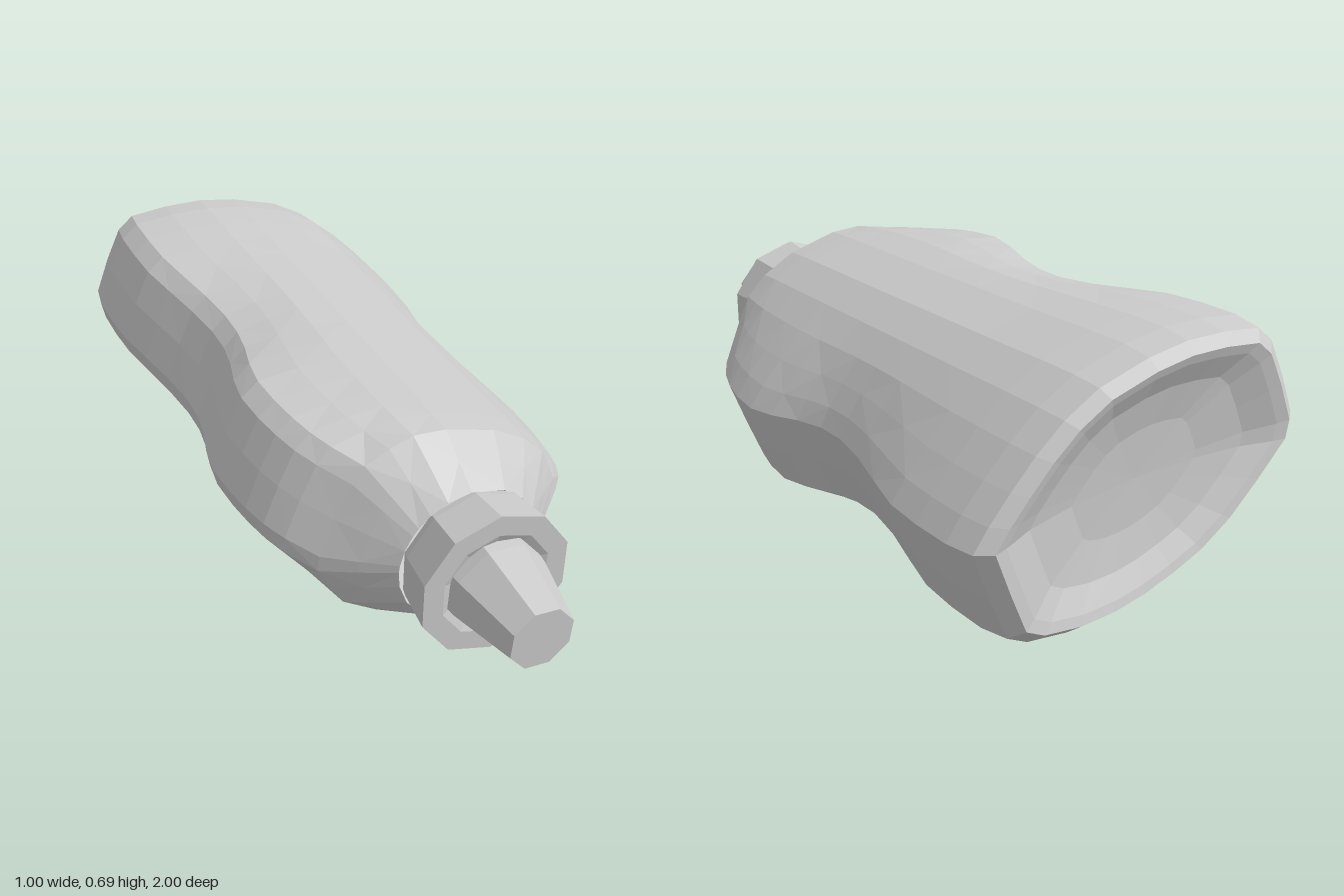
import * as THREE from 'three';

const material = new THREE.MeshStandardMaterial({
  color: 0xcccccc, flatShading: true, side: THREE.DoubleSide,
});
const TILT = THREE.MathUtils.degToRad(25);
const CENTER_Y = 0.345;
const KEEP = 0.2; // half-length of the section that the side dents leave alone

// Skin rings of points (counter-clockwise seen from +z) into one surface
function loft(name, rings) {
  const n = rings[0].length;
  const index = [];
  for (let i = 0; i < rings.length - 1; i++) {
    for (let j = 0; j < n; j++) {
      const a = i * n + j, b = i * n + (j + 1) % n, c = a + n, d = b + n;
      if ((i + j) % 2) index.push(a, b, d, a, d, c);
      else index.push(a, b, c, b, d, c);
    }
  }
  const geometry = new THREE.BufferGeometry().setFromPoints(rings.flat());
  geometry.setIndex(index);
  geometry.computeVertexNormals();
  const mesh = new THREE.Mesh(geometry, material);
  mesh.name = name;
  return mesh;
}

// Regular polygon ring around the bottle's axis
function circle(sides, r, z, x, y, turn) {
  return Array.from({ length: sides }, (_, i) => {
    const t = turn + i / sides * Math.PI * 2;
    return new THREE.Vector3(x + r * Math.cos(t), y + r * Math.sin(t), z);
  });
}

// Tilted oval cross-section of the body
const outline = [
  [0.502, 0.285], [0.46, 0.345], [0.4, 0.415], [0.33, 0.49], [0.25, 0.56], [0.15, 0.62],
  [0, 0.667], [-0.12, 0.688], [-0.24, 0.69], [-0.36, 0.68], [-0.41, 0.64],
  [-0.46, 0.54], [-0.505, 0.43], [-0.495, 0.375], [-0.4, 0.275], [-0.3, 0.18],
  [-0.2, 0.112], [-0.1, 0.068], [0, 0.033], [0.1, 0.01], [0.22, 0], [0.34, 0.012],
  [0.4, 0.04], [0.45, 0.155],
];

// Press the two ends of the section in to half-length `reach`, leaving the broad
// faces in place; then scale it and blend it towards the round neck
function section([z, reach, scale, round = 0]) {
  const c = Math.cos(TILT), s = Math.sin(TILT);
  return outline.map(([x, py]) => {
    const y = py - CENTER_Y;
    const along = x * c - y * s, v = (x * s + y * c) * scale;
    const over = Math.max(0, Math.abs(along) - KEEP);
    const u = (along - Math.sign(along) * over * (0.5 - reach) / (0.5 - KEEP)) * scale;
    const p = new THREE.Vector3(u * c + v * s, CENTER_Y - u * s + v * c, z);
    const t = Math.atan2(y, x);
    return p.lerp(new THREE.Vector3(0.2 * Math.cos(t), 0.355 + 0.2 * Math.sin(t), z), round);
  });
}

export function createModel() {
  const group = new THREE.Group();
  group.name = 'squeezeBottle';

  // Body: dished base, side dents for the grip, sloping shoulder
  const stations = [
    [-0.935, 0.5, 0], [-0.94, 0.5, 0.38], [-0.96, 0.5, 0.65],
    [-0.99, 0.5, 0.82], [-0.998, 0.5, 0.89], [-0.965, 0.5, 0.965], [-0.88, 0.5, 0.995],
    [-0.76, 0.5, 0.998], [-0.64, 0.497, 0.99], [-0.52, 0.47, 0.985], [-0.4, 0.44, 0.982],
    [-0.28, 0.422, 0.98], [-0.18, 0.425, 0.978], [-0.08, 0.447, 0.976], [0.02, 0.48, 0.975],
    [0.12, 0.5, 0.975], [0.22, 0.492, 0.975], [0.3, 0.475, 0.975], [0.37, 0.45, 0.975],
    [0.43, 0.413, 0.972], [0.505, 0.345, 0.96], [0.58, 0.345, 0.96, 0.5], [0.65, 0.345, 0.96, 1],
  ];
  group.add(loft('body', stations.map(section)));

  // Collar: ten-sided cap, slightly sunk around the nozzle
  const collar = [[0.64, 0.195], [0.66, 0.2], [0.78, 0.214], [0.78, 0.155], [0.77, 0.13], [0.77, 0]];
  group.add(loft('collar', collar.map(([z, r]) => circle(10, r, z, 0.005, 0.356, 0.3))));

  // Nozzle: tapered spout with a closed tip
  const nozzle = [[0.76, 0.138], [0.8, 0.134], [1, 0.09], [1, 0]];
  group.add(loft('nozzle', nozzle.map(([z, r]) => circle(8, r, z, 0.003, 0.36, 0.3))));

  return group;
}
